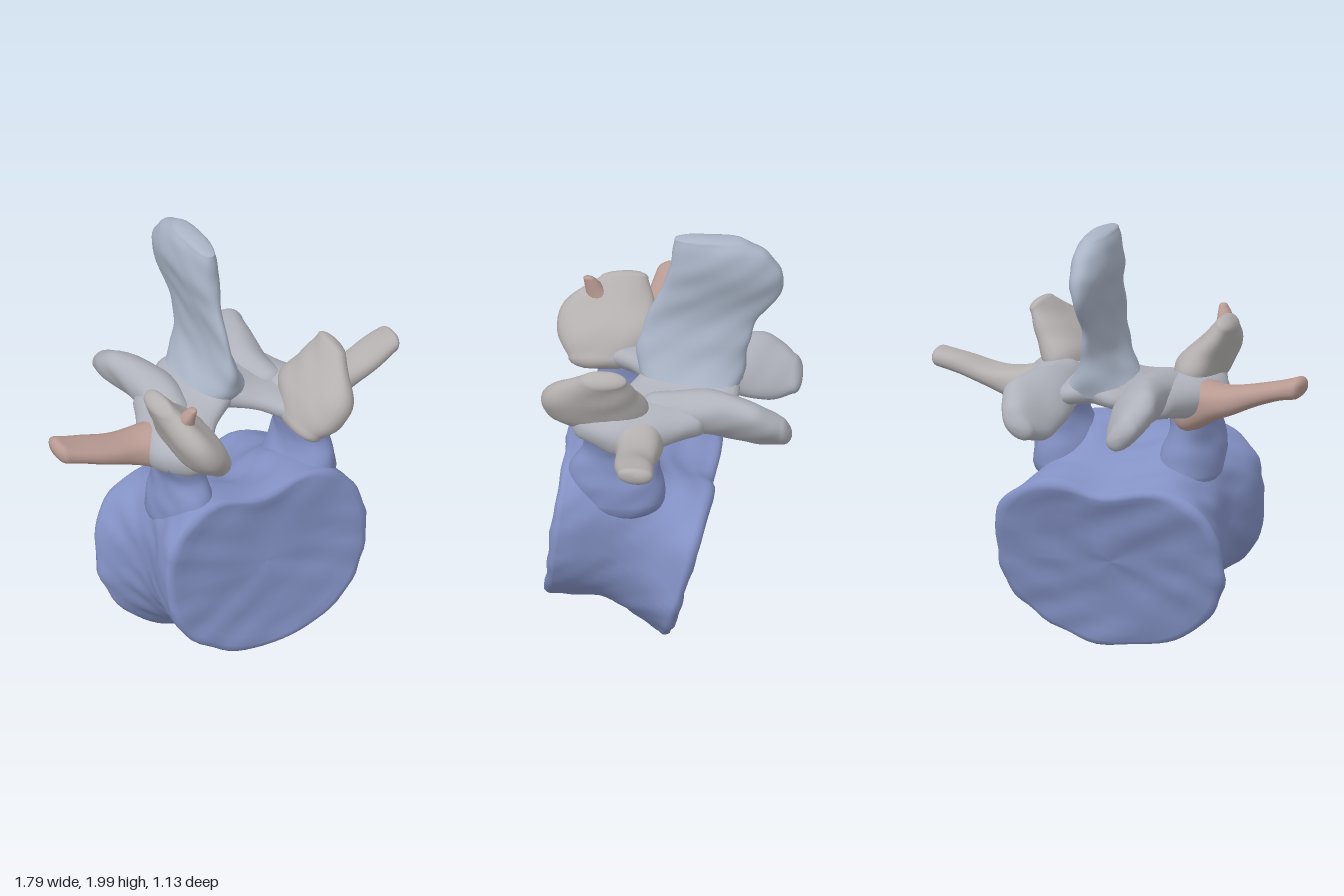
import * as THREE from 'three';

const BLUE = 0x8391c4, PALE = 0xa9b4c6, MID = 0xafb2bb, BONE = 0xb5b0b0, WARM = 0xb89a92;
const ROUND = [15, 30, 45, 60, 75, 90].map(d => d * Math.PI / 180)
  .map(a => [Math.sin(a), Math.cos(a)]);
// Nearly flat end with a rounded rim and a slight hollow: [depth, scale]
const DISC = [[0.5, 0.99], [0.9, 0.965], [1, 0.92], [0.85, 0.83], [0.7, 0.72], [0.6, 0.6],
  [0.5, 0.46], [0.45, 0.32], [0.4, 0.16], [0.4, 0]];

const power = (v, p) => Math.sign(v) * Math.pow(Math.abs(v), p);
const oval = a => [power(Math.cos(a), 0.88), power(Math.sin(a), 0.88)];
// Kidney outline: round below, squarer and dented above
const kidney = a => {
  const c = Math.cos(a), s = Math.sin(a);
  const x = power(c, s > 0 ? 0.88 : 0.95);
  return [x, (s > 0 ? Math.pow(s, 0.68) : s) - (s > 0 ? 0.2 * Math.exp(-((x / 0.36) ** 2)) : 0)];
};

function cubic(a, b, c, d, t) {
  return b + 0.5 * t * (c - a + t * (2 * a - 5 * b + 4 * c - d + t * (3 * (b - c) + d - a)));
}

// Uneven surface of bone
const grain = p => Math.sin(p.x * 17 + 2 * Math.sin(p.y * 9)) * Math.sin(p.y * 23 + p.z * 8 + 1)
  + 0.6 * Math.sin(p.x * 9 - p.z * 21 + p.y * 11) + 0.4 * Math.sin(p.y * 47 + p.x * 13 + p.z * 31);

// Smooth closed loft. Rows: [x, y, z, radius along U, radius along V, z tilt of V]
function loft(name, rows, U, V, color, o = {}) {
  const { profile = oval, cap = ROUND, capLen, segs = 28, rough = 0.004, steps = 6 } = o;
  const rings = [];
  const at = i => rows[Math.min(Math.max(i, 0), rows.length - 1)];
  for (let i = 0; i < rows.length - 1; i++)
    for (let k = 0; k < steps; k++)
      rings.push(rows[i].map((_, j) =>
        cubic(at(i - 1)[j], at(i)[j], at(i + 1)[j], at(i + 2)[j], k / steps)));
  rings.push(at(rows.length));

  // Close both ends
  const endCap = (end, next) => {
    const dir = new THREE.Vector3(end[0] - next[0], end[1] - next[1], end[2] - next[2]).normalize();
    const len = capLen ?? 0.8 * Math.min(end[3], end[4]);
    return cap.map(([d, s]) => [end[0] + dir.x * d * len, end[1] + dir.y * d * len,
      end[2] + dir.z * d * len, end[3] * s, end[4] * s, end[5]]);
  };
  const first = endCap(rows[0], rows[1]).reverse();
  const last = endCap(at(rows.length), rows[rows.length - 2]);
  const all = [...first, ...rings, ...last];

  const pos = [], index = [];
  for (const [x, y, z, ru, rv, tilt = 0] of all)
    for (let j = 0; j < segs; j++) {
      const [u, v] = profile(j / segs * Math.PI * 2);
      pos.push(x + U[0] * u * ru + V[0] * v * rv, y + U[1] * u * ru + V[1] * v * rv,
        z + U[2] * u * ru + (V[2] + tilt) * v * rv);
    }
  const a = rows[0], b = at(rows.length);
  const along = new THREE.Vector3(b[0] - a[0], b[1] - a[1], b[2] - a[2]);
  const flip = new THREE.Vector3(...U).cross(new THREE.Vector3(...V)).dot(along) < 0;
  for (let i = 0; i < all.length - 1; i++)
    for (let j = 0; j < segs; j++) {
      const p = i * segs + j, q = i * segs + (j + 1) % segs, r = p + segs, s = q + segs;
      index.push(...(flip ? [p, r, q, q, r, s] : [p, q, r, q, s, r]));
    }

  const geo = new THREE.BufferGeometry();
  geo.setAttribute('position', new THREE.Float32BufferAttribute(pos, 3));
  geo.setIndex(index);
  geo.computeVertexNormals();
  const P = geo.attributes.position, N = geo.attributes.normal;
  const p = new THREE.Vector3(), n = new THREE.Vector3();
  for (let i = 0; i < P.count; i++) {
    p.fromBufferAttribute(P, i);
    p.addScaledVector(n.fromBufferAttribute(N, i), rough * grain(p));
    P.setXYZ(i, p.x, p.y, p.z);
  }
  geo.computeVertexNormals();
  const mesh = new THREE.Mesh(geo, new THREE.MeshStandardMaterial({ color }));
  mesh.name = name;
  return mesh;
}

export function createModel() {
  const g = new THREE.Group();
  g.name = 'vertebra';
  const X = [1, 0, 0], Y = [0, 1, 0], Z = [0, 0, 1];

  // Waisted drum with two tilted end faces
  g.add(loft('vertebralBody', [
    [-0.025, 0.60, 0.475, 0.52, 0.425, -0.12],
    [-0.025, 0.595, 0.38, 0.505, 0.425, -0.13],
    [-0.02, 0.55, 0.20, 0.455, 0.41, -0.18],
    [-0.02, 0.48, 0.05, 0.475, 0.41, -0.22],
    [-0.02, 0.422, -0.085, 0.55, 0.42, -0.265],
  ], X, Y, BLUE, { profile: kidney, cap: DISC, capLen: 0.03, segs: 72, rough: 0.006, steps: 8 }));

  // Upright blade with a thick, swept-back end
  g.add(loft('spinousProcess', [
    [0, 1.23, -0.10, 0.19, 0.21],
    [0, 1.30, -0.09, 0.125, 0.24],
    [0, 1.38, -0.09, 0.075, 0.25],
    [0, 1.46, -0.105, 0.05, 0.25],
    [-0.01, 1.57, -0.14, 0.04, 0.245],
    [-0.015, 1.70, -0.22, 0.055, 0.27],
    [-0.015, 1.82, -0.25, 0.08, 0.255],
    [-0.012, 1.92, -0.22, 0.07, 0.215],
    [-0.01, 1.97, -0.18, 0.052, 0.17],
  ], X, Z, PALE, { segs: 40, capLen: 0.03 }));

  // Paired parts of the arch
  for (const s of [1, -1]) {
    const side = s > 0 ? 'left' : 'right';
    const add = (name, rows, U, V, color) => g.add(loft(side + name,
      rows.map(([x, ...rest]) => [x * s, ...rest]),
      [U[0] * s, U[1], U[2]], [V[0] * s, V[1], V[2]], color));

    // Neck flaring into the body below
    add('Pedicle', [
      [0.29, 0.80, 0.20, 0.15, 0.21],
      [0.305, 0.90, 0.22, 0.135, 0.215],
      [0.315, 0.98, 0.22, 0.105, 0.20],
      [0.32, 1.06, 0.20, 0.10, 0.165],
      [0.33, 1.15, 0.19, 0.125, 0.17],
    ], X, Z, BLUE);

    // Bridge between upper and lower facets
    add('ArticularPillar', [
      [0.31, 1.20, 0.36, 0.10, 0.08],
      [0.34, 1.175, 0.20, 0.14, 0.105],
      [0.30, 1.185, 0.02, 0.13, 0.09],
      [0.24, 1.20, -0.15, 0.11, 0.07],
    ], [0.93, -0.3, 0], [0.3, 0.93, 0], MID);

    add('Lamina', [
      [0.36, 1.17, 0.14, 0.18, 0.08],
      [0.24, 1.19, 0.07, 0.27, 0.075],
      [0.12, 1.225, -0.05, 0.26, 0.07],
      [0, 1.255, -0.09, 0.22, 0.09],
    ], Z, Y, MID);

    add('SuperiorArticularProcess', [
      [0.24, 1.18, 0.33, 0.16, 0.07],
      [0.315, 1.265, 0.31, 0.24, 0.10],
      [0.39, 1.375, 0.315, 0.205, 0.075],
      [0.45, 1.48, 0.26, 0.11, 0.045],
    ], Z, [0.78, -0.62, 0], BONE);

    // Oblique plate, outer edge high, parallel to the upper facet
    add('InferiorArticularProcess', [
      [0.24, 1.205, 0.05, 0.09, 0.09],
      [0.215, 1.21, -0.13, 0.11, 0.10],
      [0.225, 1.20, -0.29, 0.145, 0.09],
      [0.25, 1.175, -0.42, 0.15, 0.075],
      [0.25, 1.15, -0.525, 0.09, 0.055],
    ], [0.65, 0.76, 0], [0.76, -0.65, 0], MID);

    const lift = s > 0 ? 0 : 0.025;
    add('TransverseProcess', [
      [0.34, 1.13, 0.13, 0.13, 0.14],
      [0.48, 1.15 + lift / 2, 0.10, 0.08, 0.105],
      [0.62, 1.175 + lift, 0.10, 0.058, 0.09],
      [0.76, 1.22 + lift, 0.09, 0.047, 0.085],
      [0.86, 1.245 + lift, 0.075, 0.042 + lift / 2, 0.08],
    ], Y, Z, s > 0 ? BONE : WARM);
  }

  // Small bony spur on the right upper facet
  g.add(loft('facetSpur', [
    [-0.39, 1.40, 0.36, 0.05, 0.06],
    [-0.385, 1.47, 0.39, 0.035, 0.04],
    [-0.37, 1.515, 0.41, 0.02, 0.025],
  ], X, Z, WARM, { segs: 16, rough: 0.002 }));

  return g;
}
